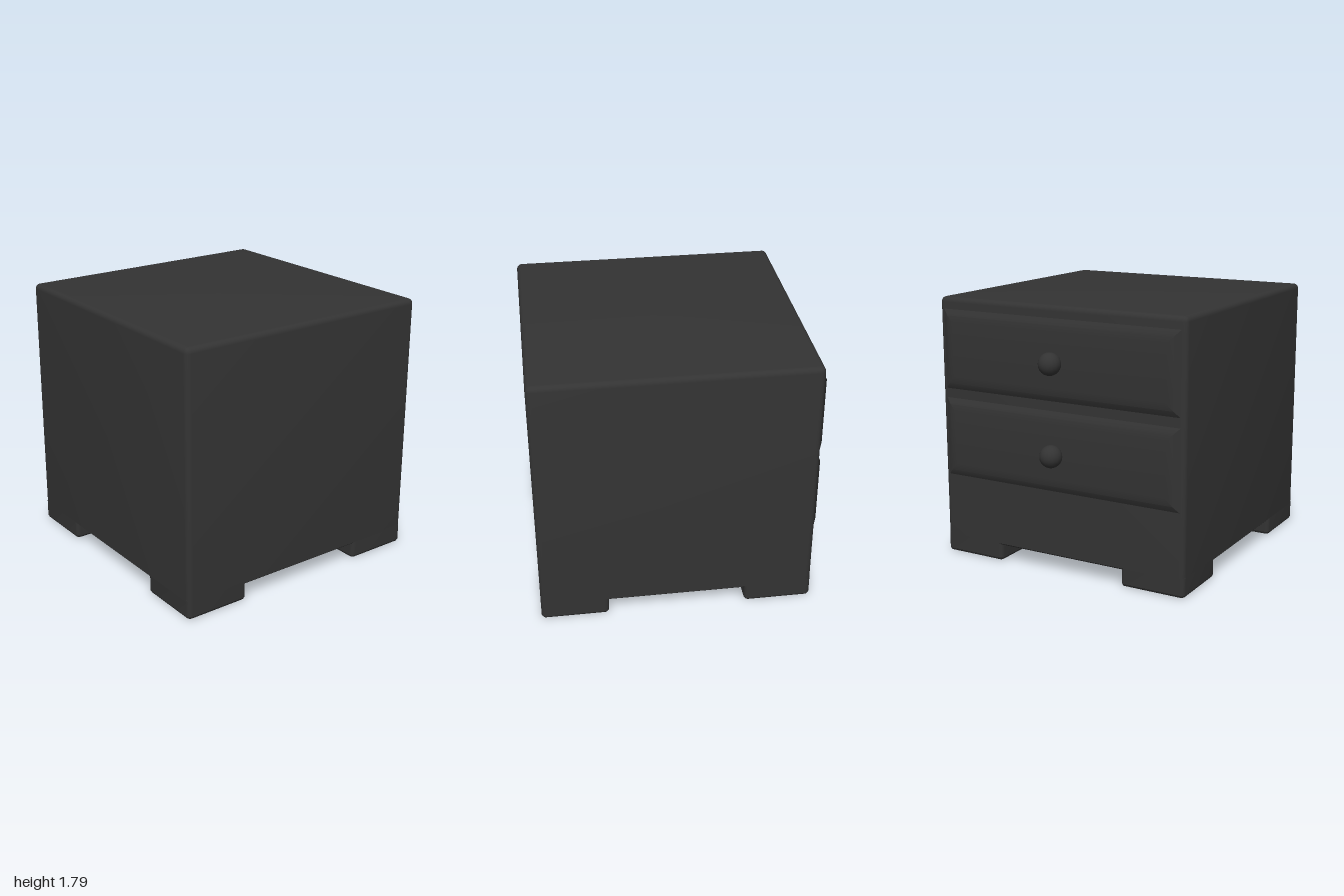
import * as THREE from 'three';
import { toCreasedNormals } from 'three/addons/utils/BufferGeometryUtils.js';

// Stacks rounded-rectangle rings along y and caps both ends.
// profile: list of [height, inset from the full outline]
function loft(width, depth, radius, profile) {
  const steps = radius > 0 ? 5 : 0;
  const positions = [], index = [];
  const count = 4 * (steps + 1);
  for (const [y, inset] of profile) {
    const r = radius > 0 ? Math.max(radius - inset, 0.004) : 0;
    const hx = width / 2 - inset - r, hz = depth / 2 - inset - r;
    for (let corner = 0; corner < 4; corner++) {
      const sx = corner === 0 || corner === 3 ? 1 : -1;
      const sz = corner < 2 ? -1 : 1;
      for (let s = 0; s <= steps; s++) {
        const a = (corner + (steps ? s / steps : 0)) * Math.PI / 2;
        positions.push(sx * hx + r * Math.cos(a), y, sz * hz - r * Math.sin(a));
      }
    }
  }
  for (let k = 0; k < profile.length - 1; k++) {
    for (let i = 0; i < count; i++) {
      const a = k * count + i, b = k * count + (i + 1) % count;
      index.push(a, b, b + count, a, b + count, a + count);
    }
  }
  const top = (profile.length - 1) * count;
  const centre = positions.length / 3;
  positions.push(0, profile[0][0], 0, 0, profile[profile.length - 1][0], 0);
  for (let i = 0; i < count; i++) {
    const j = (i + 1) % count;
    index.push(centre, j, i, centre + 1, top + i, top + j);
  }
  const geometry = new THREE.BufferGeometry();
  geometry.setAttribute('position', new THREE.Float32BufferAttribute(positions, 3));
  geometry.setIndex(index);
  return toCreasedNormals(geometry, 0.45);
}

export function createModel() {
  const group = new THREE.Group();
  const material = new THREE.MeshStandardMaterial({ color: 0x333333 });
  const add = (name, geometry, x, y, z) => {
    const mesh = new THREE.Mesh(geometry, material);
    mesh.name = name;
    mesh.position.set(x, y, z);
    group.add(mesh);
    return mesh;
  };

  const width = 1.84, height = 1.79, zBack = -0.84, zFront = 1;
  const edge = 0.035, footHeight = 0.115;

  // Cabinet with a softly rounded top edge
  const profile = [[footHeight, 0.01], [footHeight + 0.01, 0]];
  for (let i = 0; i <= 5; i++) {
    const a = i / 5 * Math.PI / 2;
    profile.push([height - edge + edge * Math.sin(a), edge * (1 - Math.cos(a))]);
  }
  add('cabinet', loft(width, zFront - zBack, edge, profile), 0, 0, (zFront + zBack) / 2);

  // Four square corner feet
  const footSize = 0.457;
  const foot = loft(footSize, footSize, 0.03,
    [[0, 0.02], [0.006, 0.008], [0.02, 0], [footHeight + 0.02, 0]]);
  for (const x of [-1, 1]) {
    for (const z of [zBack + footSize / 2, zFront - footSize / 2]) {
      add('foot', foot, x * (width - footSize) / 2, 0, z);
    }
  }

  // Two bevelled drawer fronts, each with a round knob
  const drawer = loft(1.77, 0.54, 0, [[-0.01, 0], [0, 0], [0.022, 0.04], [0.03, 0.085]]);
  const knob = new THREE.SphereGeometry(0.075, 16, 12);
  for (const y of [0.835, 1.44]) {
    add('drawerFront', drawer, 0, y, zBack).rotation.x = -Math.PI / 2;
    add('drawerKnob', knob, 0, y - 0.008, -0.925);
  }
  return group;
}
